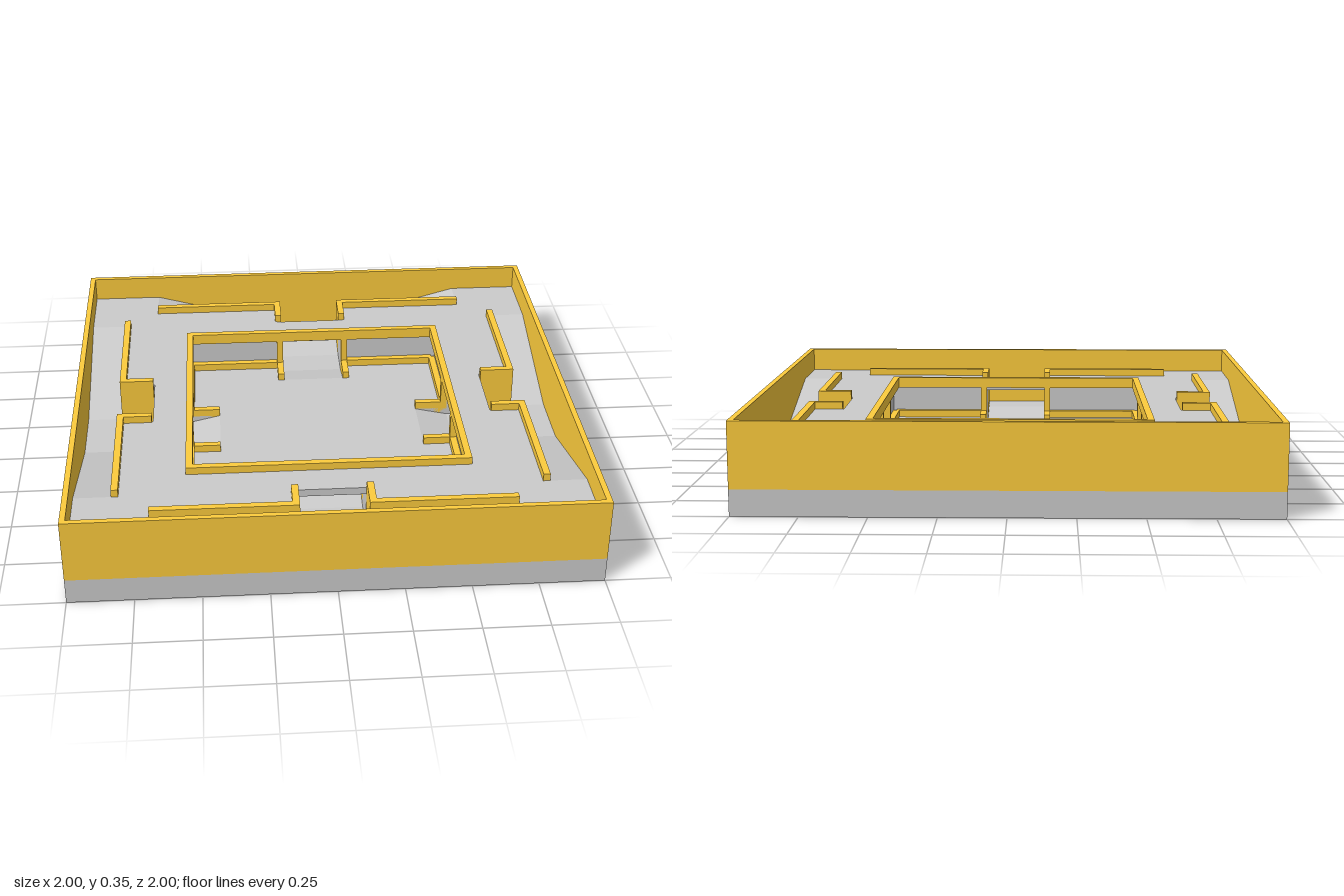
import * as THREE from 'three';

const GREY = new THREE.MeshStandardMaterial({ color: 0xcccccc });
const YELLOW = new THREE.MeshStandardMaterial({ color: 0xfdcc3d });

// Heights of the arena's levels
const PIT = 0.07, LOW = 0.1, DECK = 0.25, CURB = 0.28, TOP = 0.35;

const polygon = (pts) => new THREE.Shape(pts.map(([a, b]) => new THREE.Vector2(a, b)));
const square = (r) => [[-r, -r], [r, -r], [r, r], [-r, r]];

function add(parent, name, geometry, material) {
  const mesh = new THREE.Mesh(geometry, material);
  mesh.name = name;
  parent.add(mesh);
  return mesh;
}

// Box given by its limits on each axis
function block(parent, name, material, [x0, x1], [y0, y1], [z0, z1]) {
  const geo = new THREE.BoxGeometry(x1 - x0, y1 - y0, z1 - z0);
  geo.translate((x0 + x1) / 2, (y0 + y1) / 2, (z0 + z1) / 2);
  return add(parent, name, geo, material);
}

// Plan outline (x, z) raised from y0 to y1
function plan(parent, name, material, shape, y0, y1) {
  const geo = new THREE.ExtrudeGeometry(shape, { depth: y1 - y0, bevelEnabled: false });
  geo.rotateX(Math.PI / 2).translate(0, y1, 0);
  return add(parent, name, geo, material);
}

// Square frame between two half-widths
function frame(parent, name, material, outer, inner, y0, y1) {
  const shape = polygon(square(outer));
  shape.holes.push(polygon(square(inner)));
  return plan(parent, name, material, shape, y0, y1);
}

// Wedge with an (x, y) profile, spanning the doorway
function wedge(parent, name, pts) {
  const geo = new THREE.ExtrudeGeometry(polygon(pts), { depth: 0.26, bevelEnabled: false });
  add(parent, name, geo.translate(0, 0, -0.13), GREY);
}

// One side of the arena, built towards +x
function createSide() {
  const side = new THREE.Group();
  side.name = 'arenaSide';

  // Raised deck around the corner
  plan(side, 'cornerDeck', GREY, polygon([
    [0.555, 0.13], [0.69, 0.13], [0.69, 0.15], [0.82, 0.15], [0.82, 0.69], [0.98, 0.69],
    [0.98, 0.98], [0.69, 0.98], [0.69, 0.82], [0.15, 0.82], [0.15, 0.69], [0.13, 0.69],
    [0.13, 0.555], [0.555, 0.555],
  ]), PIT, DECK);
  block(side, 'tunnelRoof', GREY, [0.555, 0.69], [0.22, DECK], [-0.13, 0.13]);

  // Corridor that dips to the low floor in the middle
  const dip = polygon([[-0.69, PIT], [0.69, PIT], [0.69, DECK], [0.13, LOW], [-0.13, LOW], [-0.69, DECK]]);
  const corridor = new THREE.ExtrudeGeometry(dip, { depth: 0.16, bevelEnabled: false });
  add(side, 'corridorRamps', corridor.rotateY(Math.PI / 2).translate(0.82, 0, 0), GREY);

  // Ramps down into the tunnel from both ends
  wedge(side, 'outerTunnelRamp', [[0.69, PIT], [0.82, PIT], [0.82, LOW]]);
  wedge(side, 'innerTunnelRamp', [[0.42, PIT], [0.555, PIT], [0.42, LOW]]);

  // Trim on both sides of the doorway
  for (const s of [-1, 1]) {
    const z = (a, b) => [Math.min(s * a, s * b), Math.max(s * a, s * b)];
    block(side, 'corridorWall', YELLOW, [0.808, 0.835], [PIT, CURB], z(0.157, 0.69));
    block(side, 'outerDoorWall', YELLOW, [0.695, 0.835], [PIT, CURB], z(0.13, 0.157));
    block(side, 'doorPost', YELLOW, [0.528, 0.555], [PIT, DECK], z(0.13, 0.157));
    block(side, 'rampRail', YELLOW, [0.42, 0.528], [PIT, LOW + 0.03], z(0.13, 0.157));
    block(side, 'baseStrip', YELLOW, [0.528, 0.555], [LOW, LOW + 0.03], z(0.157, 0.54));
  }
  return side;
}

export function createModel() {
  const model = new THREE.Group();
  model.name = 'arena';

  // Ground slab and outer wall
  block(model, 'groundSlab', GREY, [-1, 1], [0, PIT], [-1, 1]);
  frame(model, 'slabRim', GREY, 1, 0.98, PIT, LOW);
  frame(model, 'outerWall', YELLOW, 1, 0.978, LOW, TOP);

  // Sunken court with a notch for each ramp
  const court = [];
  for (let i = 0; i < 4; i++) {
    const c = Math.round(Math.cos(i * Math.PI / 2)), s = Math.round(Math.sin(i * Math.PI / 2));
    for (const [x, z] of [[0.555, -0.555], [0.555, -0.13], [0.42, -0.13], [0.42, 0.13], [0.555, 0.13]]) {
      court.push([x * c - z * s, x * s + z * c]);
    }
  }
  plan(model, 'courtFloor', GREY, polygon(court), PIT, LOW);
  frame(model, 'courtRing', YELLOW, 0.555, 0.528, DECK - 0.015, CURB);

  // Four identical sides
  for (let i = 0; i < 4; i++) {
    const side = createSide();
    side.rotation.y = i * Math.PI / 2;
    model.add(side);
  }
  return model;
}
